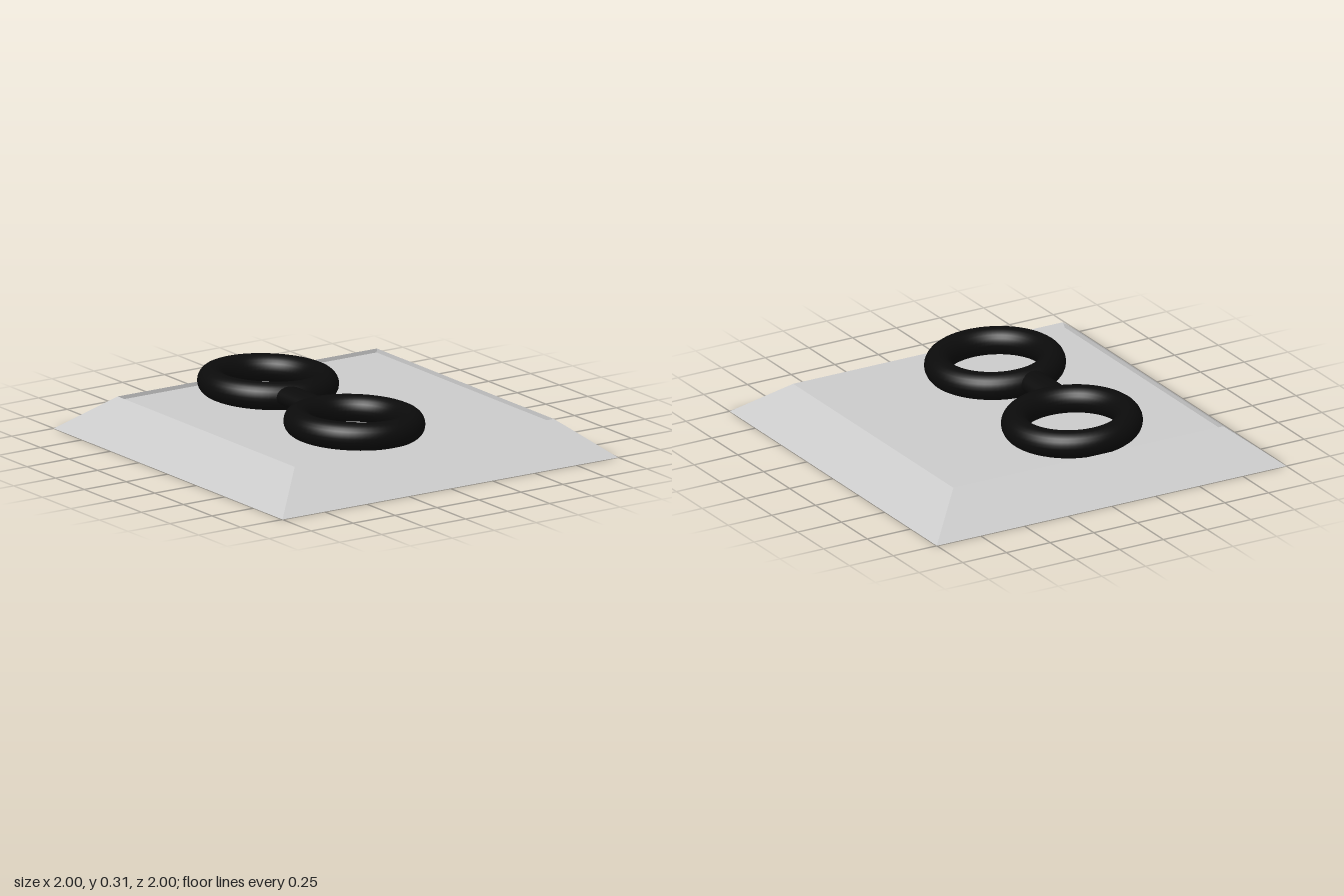
import * as THREE from 'three';

// Skin a stack of rectangular loops [x0, x1, z0, z1, y], capped at both ends
function skinRectangles(loops) {
  const pos = [];
  const corners = ([x0, x1, z0, z1, y]) => [[x0, y, z1], [x1, y, z1], [x1, y, z0], [x0, y, z0]];
  const quad = (a, b, c, d) => pos.push(...a, ...b, ...c, ...a, ...c, ...d);
  const rings = loops.map(corners);
  for (let i = 0; i < rings.length - 1; i++) {
    for (let k = 0; k < 4; k++) {
      const n = (k + 1) % 4;
      quad(rings[i][k], rings[i][n], rings[i + 1][n], rings[i + 1][k]);
    }
  }
  const [a, b, c, d] = rings[0];
  quad(d, c, b, a);
  quad(...rings[rings.length - 1]);
  const geo = new THREE.BufferGeometry();
  geo.setAttribute('position', new THREE.Float32BufferAttribute(pos, 3));
  geo.computeVertexNormals();
  return geo;
}

export function createModel() {
  const group = new THREE.Group();
  const grey = new THREE.MeshStandardMaterial({ color: 0xcccccc, flatShading: true });
  const black = new THREE.MeshStandardMaterial({ color: 0x0b0b0b });

  const add = (name, geo, mat, x = 0, y = 0, z = 0) => {
    const mesh = new THREE.Mesh(geo, mat);
    mesh.name = name;
    mesh.position.set(x, y, z);
    group.add(mesh);
    return mesh;
  };

  // Sloping plinth with a shallow recess in its top
  add('base', skinRectangles([
    [-1, 1, -1, 1, 0],
    [-0.772, 0.772, -0.775, 0.772, 0.18],
    [-0.77, 0.77, -0.775, 0.75, 0.16],
  ]), grey);

  // Two rings lying in the recess, tipped slightly toward +x
  const ringGeo = new THREE.TorusGeometry(0.28, 0.07, 24, 64);
  ringGeo.rotateX(Math.PI / 2);
  for (const [name, x, y, z] of [['frontRing', -0.163, 0.225, 0.4], ['backRing', -0.105, 0.228, -0.44]]) {
    add(name, ringGeo, black, x, y, z).rotation.z = -0.04;
  }

  // Flattened bar joining the rings
  const barGeo = new THREE.CylinderGeometry(0.077, 0.077, 0.28, 32);
  barGeo.rotateX(Math.PI / 2);
  barGeo.scale(1, 0.65, 1);
  add('connectingBar', barGeo, black, -0.188, 0.238, -0.02).rotation.z = -0.04;

  return group;
}
